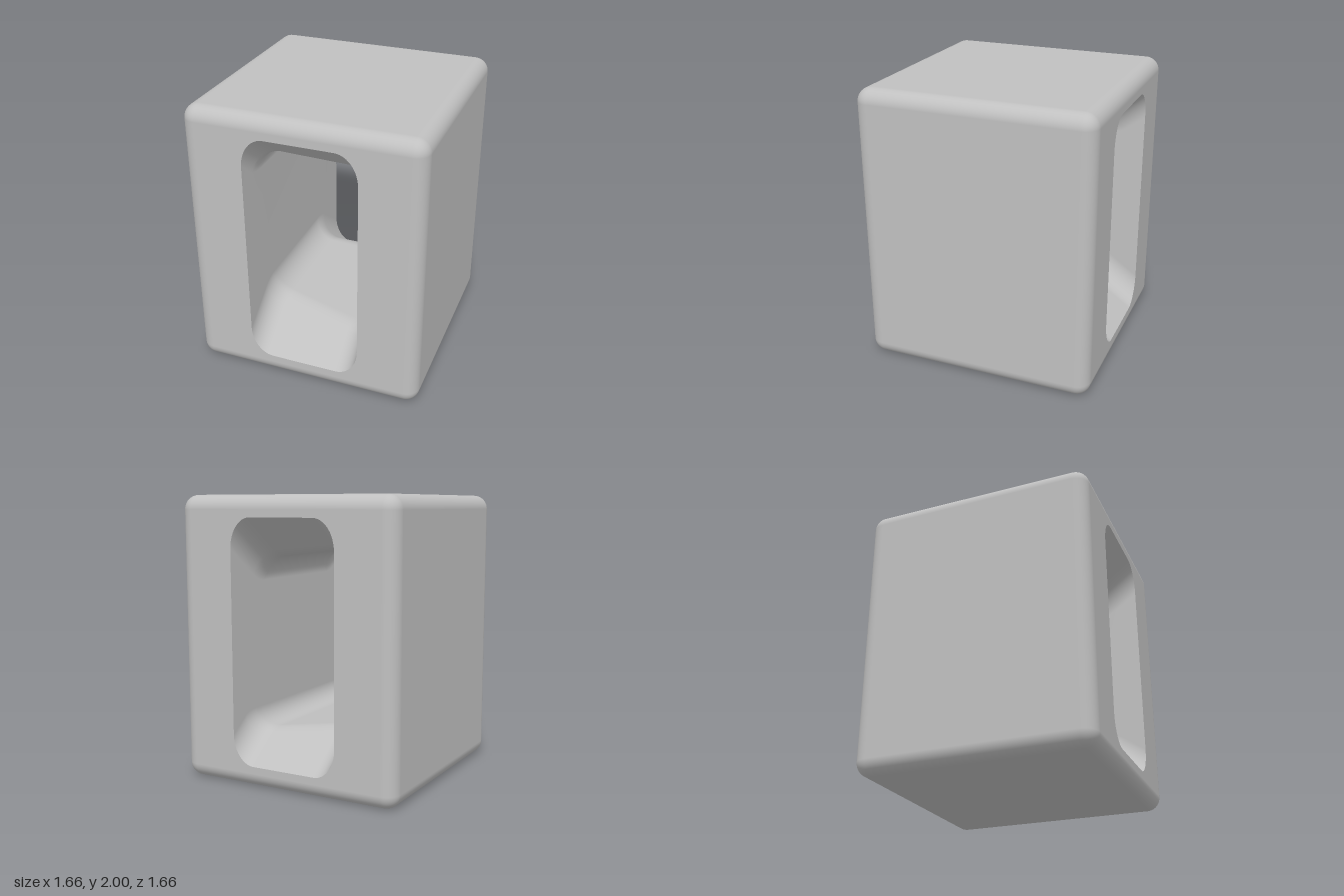
import * as THREE from 'three';
import { RoundedBoxGeometry } from 'three/addons/geometries/RoundedBoxGeometry.js';

const HALF = 0.83;      // half width and depth of the block
const HOLE = 0.4;       // half width of the passage
const R = 0.16;         // corner radius of the passage
const SLOPE = 0.72;     // steepness of the ramps behind both mouths

// Lower half of the passage outline: x, mouth height and inner floor height
function floorProfile() {
  const pts = [], n = 12;
  for (const side of [-1, 1]) {
    for (let k = 0; k <= n; k++) {
      const t = ((side < 0 ? k : n - k) / n) * Math.PI / 2;
      const x = side * (HOLE - R * (1 - Math.cos(t)));
      const rise = 1 - Math.sin(t);
      pts.push({ x, mouth: 0.15 + 0.21 * rise, inner: 0.395 - 0.127 * x + 0.15 * rise });
    }
  }
  return pts;
}

// Full outline: the ceiling is the floor turned half round about the z axis
function outline() {
  const floor = floorProfile();
  const ceiling = floor.map(p => ({ x: -p.x, mouth: 2 - p.mouth, inner: 2 - p.inner }));
  return [...floor, ...ceiling];
}

// Path of one outline point from the front mouth to the middle, with a softened ridge
function halfPath(p) {
  const mouth = new THREE.Vector3(p.x, p.mouth, HALF);
  const ridge = new THREE.Vector3(p.x, p.inner, HALF - Math.abs(p.inner - p.mouth) / SLOPE);
  const middle = new THREE.Vector3(p.x, p.inner, 0);
  const bend = new THREE.QuadraticBezierCurve3(
    mouth.clone().lerp(ridge, 0.8), ridge, ridge.clone().lerp(middle, 0.15));
  return [mouth, ...bend.getPoints(6), middle];
}

// Inner skin of the passage, mirrored front to back
function passageGeometry() {
  const paths = outline().map(p => {
    const half = halfPath(p);
    const back = half.slice(0, -1).reverse().map(v => new THREE.Vector3(v.x, v.y, -v.z));
    return [...half, ...back];
  });
  const n = paths.length, rows = paths[0].length, pos = [], index = [];
  for (let i = 0; i < rows; i++) {
    for (let j = 0; j < n; j++) {
      pos.push(...paths[j][i].toArray());
      if (i === rows - 1) continue;
      const a = i * n + j, b = i * n + (j + 1) % n;
      index.push(a, b, a + n, b, b + n, a + n);
    }
  }
  const g = new THREE.BufferGeometry();
  g.setAttribute('position', new THREE.Float32BufferAttribute(pos, 3));
  g.setIndex(index);
  g.computeVertexNormals();
  return g;
}

// Rounded box without its flat front and back panels
function shellGeometry(radius) {
  const box = new RoundedBoxGeometry(HALF * 2, 2, HALF * 2, 6, radius);
  const src = box.index ? box.toNonIndexed() : box;
  const p = src.attributes.position, q = src.attributes.normal, pos = [], nor = [];
  for (let i = 0; i < p.count; i += 3) {
    const flat = [0, 1, 2].every(k => Math.abs(p.getZ(i + k)) > HALF - 1e-4);
    if (flat) continue;
    for (let k = i; k < i + 3; k++) {
      pos.push(p.getX(k), p.getY(k) + 1, p.getZ(k));
      nor.push(q.getX(k), q.getY(k), q.getZ(k));
    }
  }
  const g = new THREE.BufferGeometry();
  g.setAttribute('position', new THREE.Float32BufferAttribute(pos, 3));
  g.setAttribute('normal', new THREE.Float32BufferAttribute(nor, 3));
  return g;
}

// Flat panel with the mouth of the passage cut out
function panelGeometry(radius) {
  const w = HALF - radius, h = 1 - radius;
  const shape = new THREE.Shape([
    new THREE.Vector2(-w, 1 - h), new THREE.Vector2(w, 1 - h),
    new THREE.Vector2(w, 1 + h), new THREE.Vector2(-w, 1 + h)]);
  shape.holes.push(new THREE.Path(outline().map(p => new THREE.Vector2(p.x, p.mouth))));
  return new THREE.ShapeGeometry(shape).translate(0, 0, HALF);
}

export function createModel() {
  const group = new THREE.Group();
  group.name = 'hollowBlock';
  const grey = new THREE.MeshStandardMaterial({ color: 0xc0c0c0 });
  grey.name = 'light grey';
  const radius = 0.1;
  const add = (name, geometry) => {
    const mesh = new THREE.Mesh(geometry, grey);
    mesh.name = name;
    group.add(mesh);
    return mesh;
  };
  add('outerShell', shellGeometry(radius));
  add('frontPanel', panelGeometry(radius));
  add('backPanel', panelGeometry(radius)).rotation.y = Math.PI;
  add('passage', passageGeometry());
  return group;
}
